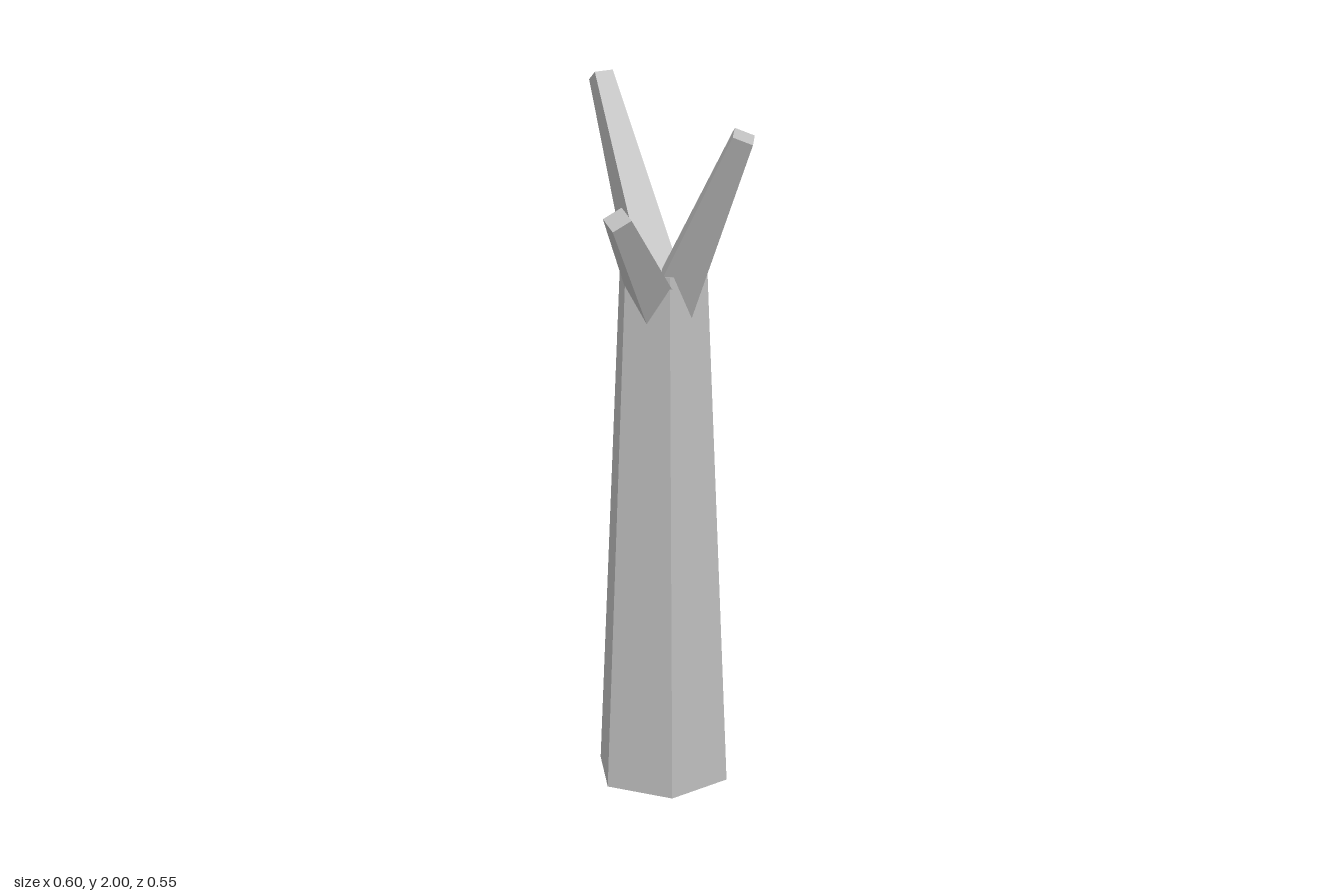
import * as THREE from 'three';

const bark = new THREE.MeshStandardMaterial({ color: 0xbcbcbc, flatShading: true, side: THREE.DoubleSide });
bark.name = 'greyBark';

// Tapered four-sided branch running from its buried base to its tip
function makeBranch(name, base, tip, baseRadius, tipRadius, spin = 0) {
  const from = new THREE.Vector3(...base);
  const axis = new THREE.Vector3(...tip).sub(from);
  const length = axis.length();
  const geometry = new THREE.CylinderGeometry(tipRadius, baseRadius, length, 4);
  geometry.translate(0, length / 2, 0);
  geometry.rotateY(spin);
  const mesh = new THREE.Mesh(geometry, bark);
  mesh.name = name;
  mesh.position.copy(from);
  mesh.quaternion.setFromUnitVectors(new THREE.Vector3(0, 1, 0), axis.normalize());
  return mesh;
}

export function createModel() {
  const model = new THREE.Group();
  model.name = 'bareTree';

  // Hexagonal trunk, open underneath
  const height = 1.48;
  const trunk = new THREE.Mesh(
    new THREE.CylinderGeometry(0.129, 0.2, height, 6, 1, true, Math.PI / 6), bark);
  trunk.name = 'trunk';
  trunk.position.set(-0.006, height / 2, -0.065);

  // Flat cut top of the trunk
  const trunkTop = new THREE.Mesh(new THREE.CircleGeometry(0.129, 6), bark);
  trunkTop.name = 'trunkTop';
  trunkTop.rotation.x = -Math.PI / 2;
  trunkTop.position.set(-0.006, height, -0.065);

  // Three branches
  model.add(
    trunk,
    trunkTop,
    makeBranch('backBranch', [-0.027, 1.413, -0.081], [-0.265, 1.985, -0.238], 0.08, 0.038),
    makeBranch('frontBranch', [-0.006, 1.372, -0.033], [-0.006, 1.658, 0.245], 0.08, 0.04),
    makeBranch('sideBranch', [0.023, 1.386, -0.05], [0.271, 1.863, 0.072], 0.086, 0.039, -0.46)
  );
  return model;
}
